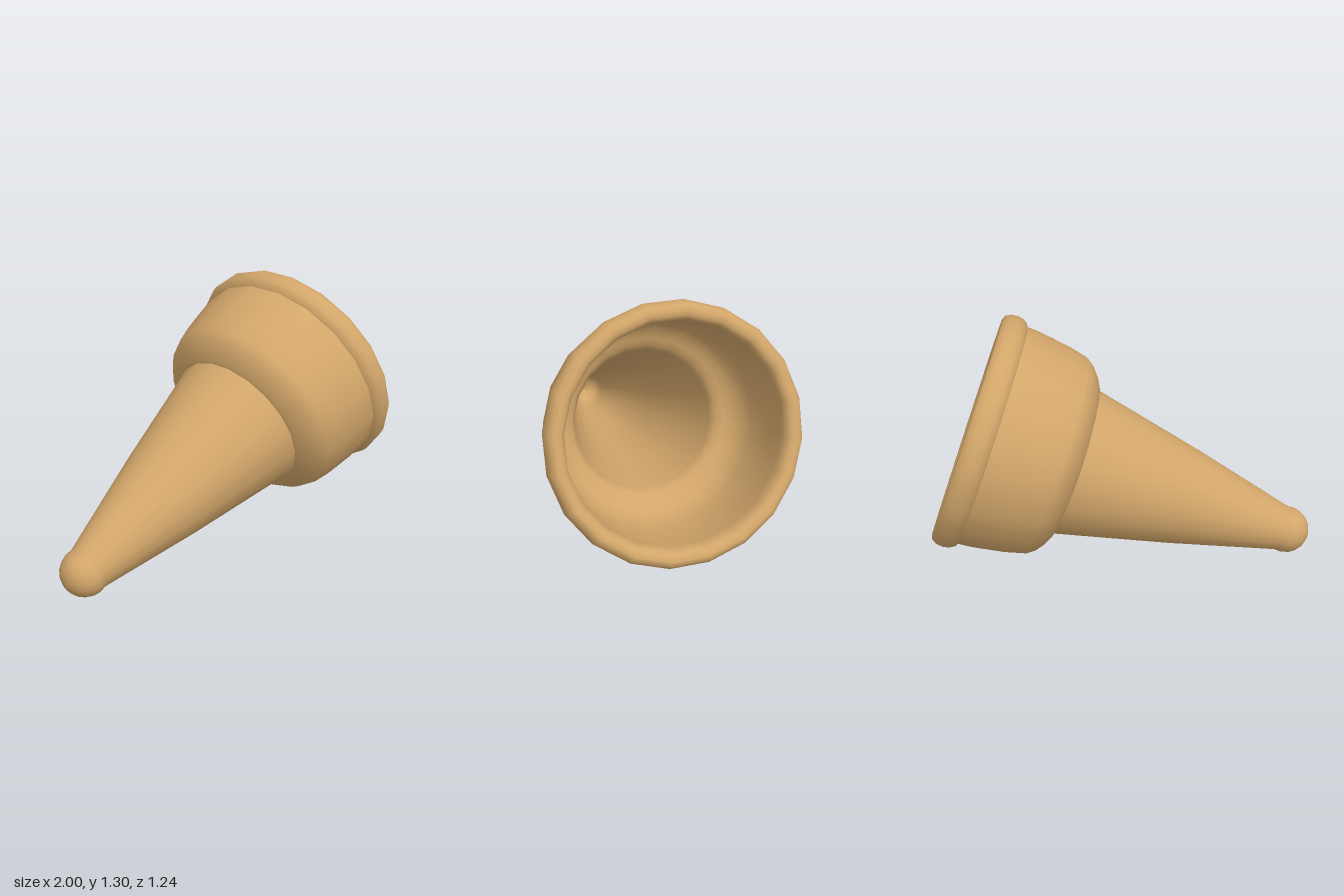
import * as THREE from 'three';

export function createModel() {
  const model = new THREE.Group();
  const cone = new THREE.Group();
  cone.name = 'iceCreamCone';
  model.add(cone);

  const wafer = new THREE.MeshStandardMaterial({ color: 0xd2a66a });
  wafer.name = 'wafer';

  const SIDES = 20;
  const step = (Math.PI * 2) / SIDES;
  const fit = 1 / Math.cos(step / 2); // profile radii are measured to the facet middles

  // Each profile is a list of [radius, position along the axis], with 0 at the rim plane
  function turned(name, profile) {
    const points = profile.map(([r, t]) => new THREE.Vector2(r * fit, t));
    const mesh = new THREE.Mesh(new THREE.LatheGeometry(points, SIDES, step / 2), wafer);
    mesh.name = name;
    cone.add(mesh);
  }

  // Tapered stem with a rounded tip
  const tip = [];
  for (let i = 0; i <= 6; i++) {
    const a = (i / 6) * THREE.MathUtils.degToRad(102);
    tip.push([0.123 * Math.sin(a), -1.783 - 0.123 * Math.cos(a)]);
  }
  turned('stem', [...tip, [0.255, -1.2], [0.391, -0.575]]);

  // Bulging cup
  turned('cup', [
    [0.38, -0.582], [0.41, -0.577], [0.463, -0.548], [0.503, -0.515], [0.53, -0.475],
    [0.552, -0.38], [0.567, -0.278], [0.577, -0.2], [0.582, -0.12],
  ]);

  // Rolled lip
  turned('rim', [
    [0.575, -0.137], [0.598, -0.124], [0.612, -0.1], [0.618, -0.07], [0.614, -0.035],
    [0.598, -0.006], [0.575, 0.003], [0.55, -0.003], [0.533, -0.018], [0.524, -0.045],
    [0.522, -0.075],
  ]);

  // Hollow inside, running down from the lip into the stem
  turned('lining', [
    [0.53, -0.07], [0.528, -0.2], [0.518, -0.3], [0.505, -0.39], [0.485, -0.45],
    [0.45, -0.5], [0.41, -0.528], [0.375, -0.55], [0.352, -0.59], [0.22, -1.2],
    [0.09, -1.78], [0.055, -1.83], [0, -1.85],
  ]);

  // Lay the cone on its side with the mouth raised
  const axis = new THREE.Vector3(0.94, 0.341, 0.056).normalize();
  const side = new THREE.Vector3(0, 1, 0).addScaledVector(axis, -axis.y).normalize();
  const across = new THREE.Vector3().crossVectors(side, axis);
  cone.quaternion.setFromRotationMatrix(new THREE.Matrix4().makeBasis(side, axis, across));
  cone.position.set(0.795, 0.73, 0);

  return model;
}
